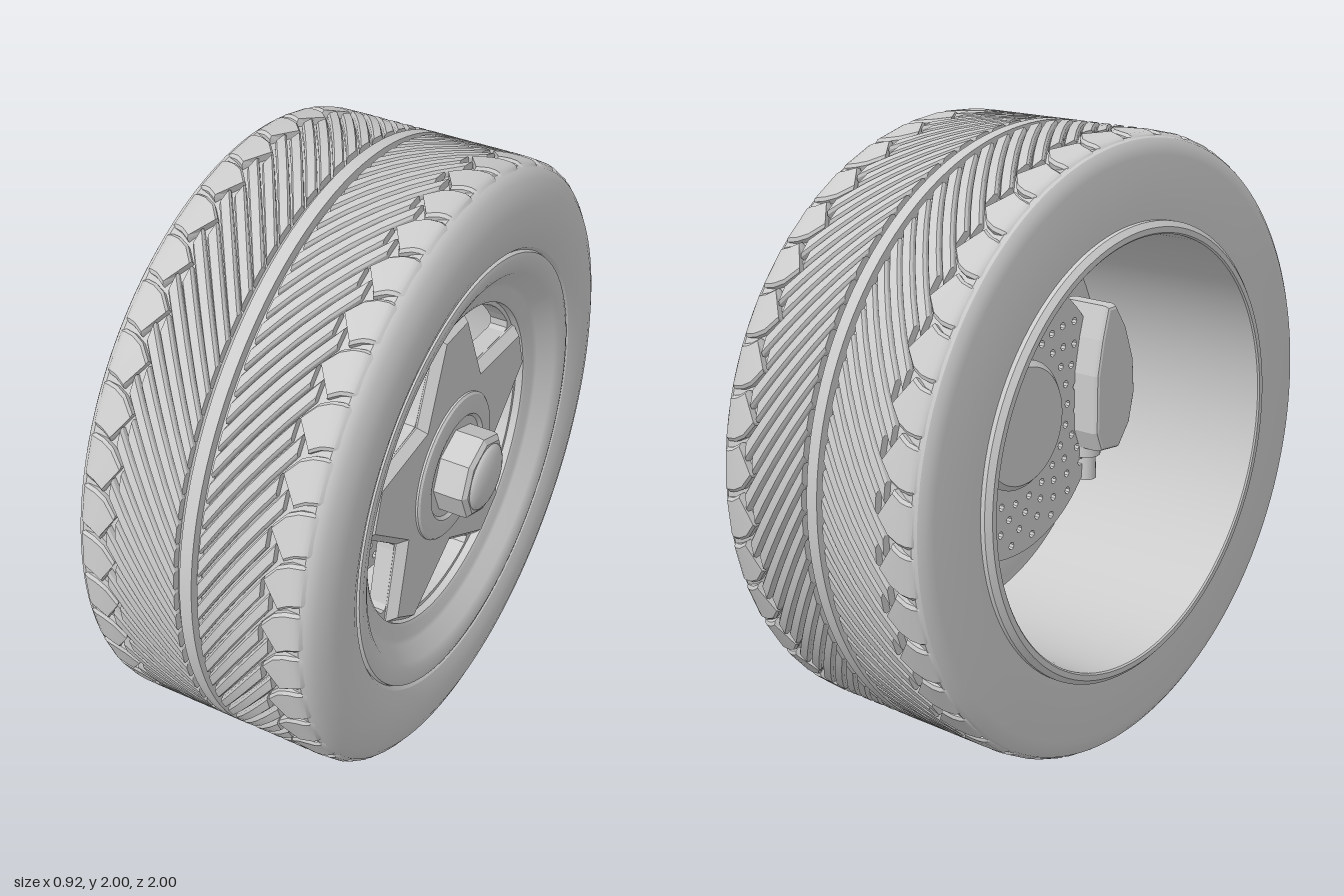
import * as THREE from 'three';
import { toCreasedNormals } from 'three/addons/utils/BufferGeometryUtils.js';

const TAU = Math.PI * 2;
const material = new THREE.MeshStandardMaterial({ color: 0xcccccc, side: THREE.DoubleSide });
const polar = (r, a) => new THREE.Vector2(r * Math.cos(a), r * Math.sin(a));

// Inside the wheel group the axle runs along z, with the outer face at +z.
export function createModel() {
  const model = new THREE.Group();
  const wheel = new THREE.Group();
  wheel.name = 'wheel';
  wheel.rotation.y = Math.PI / 2;
  wheel.position.y = 1;
  model.add(wheel);

  function add(name, geometry, z = 0, parent = wheel) {
    const mesh = new THREE.Mesh(geometry, material);
    mesh.name = name;
    mesh.position.z = z;
    parent.add(mesh);
    return mesh;
  }

  // Turned part from [radius, z] points
  function turned(name, profile, segments = 120, crease = 0.5) {
    const points = profile.map(([r, z]) => new THREE.Vector2(r, z));
    const geometry = new THREE.LatheGeometry(points, segments).rotateX(Math.PI / 2);
    return add(name, toCreasedNormals(geometry, crease));
  }

  // Tyre carcass with the thin centre rib between two deep grooves
  turned('tyre', [
    [0.725, -0.43], [0.93, -0.43], [0.962, -0.424], [0.98, -0.412], [0.987, -0.396],
    [0.982, -0.375], [0.976, -0.35], [0.976, -0.07], [0.97, -0.065],
    [0.97, -0.05], [1, -0.05], [1, -0.01], [0.97, -0.01], [0.97, 0.005], [0.976, 0.01],
    [0.976, 0.29], [0.982, 0.315], [0.985, 0.336], [0.976, 0.353], [0.95, 0.372],
    [0.91, 0.388], [0.87, 0.397], [0.82, 0.4], [0.77, 0.394], [0.735, 0.382], [0.725, 0.37],
  ], 160);
  add('treadBlocks', treadGeometry());

  // Rim: outer lip, stepped well, open barrel and inner flange
  turned('rim', [
    [0.725, 0.37], [0.72, 0.382], [0.705, 0.386], [0.67, 0.378], [0.65, 0.368],
    [0.605, 0.325], [0.59, 0.317], [0.55, 0.312], [0.538, 0.305], [0.535, 0.22],
    [0.56, 0.215], [0.66, 0.22], [0.695, 0.22], [0.695, -0.455], [0.7, -0.46],
    [0.718, -0.46], [0.735, -0.445], [0.735, -0.42],
  ]);

  // Wheel face: disc pierced by five windows
  const face = new THREE.Shape().absarc(0, 0, 0.54, 0, TAU);
  const star = [];
  for (let i = 0; i < 5; i++) {
    const gap = -Math.PI / 2 + i * TAU / 5;
    const hole = [polar(0.35, gap - 0.06), polar(0.34, gap), polar(0.35, gap + 0.06),
      polar(0.49, gap + 0.4), polar(0.51, gap + 0.41)];
    for (let k = 0; k <= 8; k++) hole.push(polar(0.523, gap + 0.37 - 0.74 * k / 8));
    hole.push(polar(0.51, gap - 0.41), polar(0.49, gap - 0.4));
    face.holes.push(new THREE.Path(hole));
    const tip = gap + Math.PI / 5;
    star.push(polar(0.305, gap), polar(0.515, tip - 0.135), polar(0.515, tip + 0.135));
  }
  add('wheelFace', new THREE.ExtrudeGeometry(face,
    { depth: 0.06, bevelEnabled: false, curveSegments: 60 }), 0.22);

  // Raised five-pointed spokes with bevelled flanks
  add('spokes', new THREE.ExtrudeGeometry(new THREE.Shape(star),
    { depth: 0.01, bevelThickness: 0.03, bevelSize: 0.025, bevelSegments: 1 }), 0.275);

  // Hub boss, centre nut and domed cap
  turned('hubBoss', [
    [0.25, 0.28], [0.25, 0.322], [0.243, 0.328], [0.19, 0.335], [0.18, 0.333],
    [0.17, 0.322], [0, 0.322],
  ], 64);
  turned('centreNut', [
    [0.145, 0.31], [0.145, 0.405], [0.142, 0.42], [0.125, 0.432], [0.113, 0.432], [0.113, 0.41],
  ], 8, 0.3);
  const cap = [[0.113, 0.41]];
  for (let k = 0; k <= 6; k++) {
    const a = k / 6 * Math.PI / 2;
    cap.push([0.113 * Math.cos(a), 0.428 + 0.032 * Math.sin(a)]);
  }
  turned('hubCap', cap, 48, 0.8);

  // Drilled brake disc on its hat
  const disc = new THREE.Shape().absarc(0, 0, 0.465, 0, TAU);
  disc.holes.push(new THREE.Path().absarc(0, 0, 0.18, 0, TAU, true));
  for (let i = 0; i < 24; i++) {
    for (let j = 0; j < 4; j++) {
      const c = polar(0.28 + j * 0.048, (i + j * 0.4) * TAU / 24);
      const ring = [];
      for (let k = 0; k < 8; k++) ring.push(polar(0.013, -k * TAU / 8).add(c));
      disc.holes.push(new THREE.Path(ring));
    }
  }
  add('brakeDisc', new THREE.ExtrudeGeometry(disc,
    { depth: 0.04, bevelEnabled: false, curveSegments: 48 }), 0.04);
  turned('brakeHat', [[0, 0], [0.2, 0], [0.22, 0.02], [0.22, 0.23]], 48);

  // Brake caliper wrapped over the front edge of the disc, with a slide pin below
  const caliper = new THREE.Group();
  caliper.name = 'brakeCaliper';
  wheel.add(caliper);
  const body = new THREE.Shape([
    [-0.335, -0.1], [-0.36, -0.16], [-0.45, -0.17], [-0.505, -0.1], [-0.53, 0.0],
    [-0.52, 0.12], [-0.475, 0.24], [-0.42, 0.32], [-0.39, 0.32], [-0.36, 0.22], [-0.335, 0.1],
  ].map(([x, y]) => new THREE.Vector2(x, y)));
  add('caliperBody', new THREE.ExtrudeGeometry(body,
    { depth: 0.15, bevelThickness: 0.025, bevelSize: 0.015, bevelSegments: 3 }), -0.03, caliper);
  add('pinCollar', new THREE.CylinderGeometry(0.052, 0.052, 0.045, 16), 0.05, caliper)
    .position.set(-0.4, -0.19, 0.05);
  add('slidePin', new THREE.CylinderGeometry(0.034, 0.038, 0.12, 16), 0.05, caliper)
    .position.set(-0.4, -0.24, 0.05);
  return model;
}

// Directional tread: each pitch has two slanted ribs and a shoulder block per side
function treadGeometry() {
  const positions = [], index = [];
  const pitch = TAU / 40, centre = -0.03, slant = 1.75;

  // A block is a loop of sections [w0, angle0, w1, angle1, top radius]
  function block(sections, side, turn) {
    const quad = (a, b, c, d) => side > 0
      ? index.push(a, b, c, a, c, d) : index.push(a, c, b, a, d, c);
    const put = (w, a, r) => positions.push(
      r * Math.cos(a + turn), r * Math.sin(a + turn), centre + side * w);
    const base = positions.length / 3;
    for (const [w0, a0, w1, a1, r] of sections) {
      put(w0, a0, 0.955);
      put(w0, a0, r - 0.008);
      put(w0, a0 + 0.01, r);
      put(w1, a1 - 0.01, r);
      put(w1, a1, r - 0.008);
      put(w1, a1, 0.955);
    }
    for (let s = 0; s < sections.length - 1; s++) {
      for (let k = 0; k < 5; k++) {
        const a = base + s * 6 + k;
        quad(a, a + 1, a + 7, a + 6);
      }
    }
    const end = base + (sections.length - 1) * 6;
    for (const k of [0, 2]) {
      quad(base, base + k + 3, base + k + 2, base + k + 1);
      quad(end, end + k + 1, end + k + 2, end + k + 3);
    }
  }

  for (let i = 0; i < 40; i++) {
    for (const side of [-1, 1]) {
      for (let k = 0; k < 2; k++) {
        const rib = [], reach = 0.245 + k * 0.03;
        for (let s = 0; s <= 4; s++) {
          const w = 0.04 + (reach - 0.04) * s / 4;
          const a = k * pitch / 2 - slant * w + 0.5 * w * w;
          rib.push([w, a, w, a + 0.066, 1]);
        }
        block(rib, side, i * pitch);
      }
      const shoulder = [
        [0.253, -0.41, 0.303, -0.315, 1], [0.29, -0.455, 0.318, -0.325, 1],
        [0.325, -0.473, 0.335, -0.335, 0.999], [0.355, -0.478, 0.355, -0.34, 0.996],
        [0.37, -0.478, 0.37, -0.342, 0.989], [0.382, -0.474, 0.382, -0.346, 0.974],
      ];
      block(shoulder, side, i * pitch);
    }
  }
  const geometry = new THREE.BufferGeometry();
  geometry.setAttribute('position', new THREE.Float32BufferAttribute(positions, 3));
  geometry.setIndex(index);
  return toCreasedNormals(geometry, 0.5);
}
